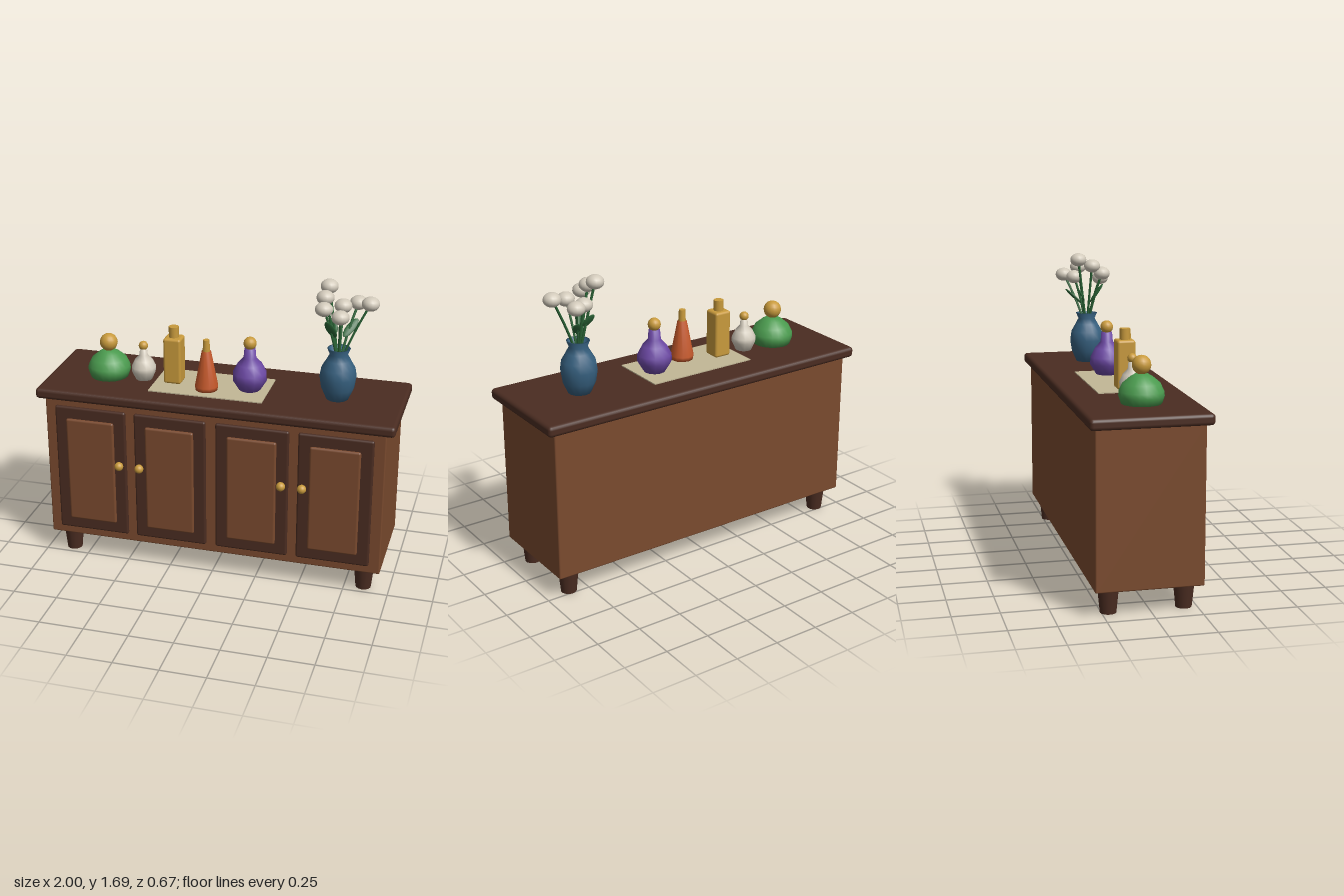
import * as THREE from 'three';
import { RoundedBoxGeometry } from 'three/addons/geometries/RoundedBoxGeometry.js';

const paint = (name, color, flatShading = false) => {
  const m = new THREE.MeshStandardMaterial({ color, flatShading });
  m.name = name;
  return m;
};

export function createModel() {
  const model = new THREE.Group();
  model.name = 'sideboard';
  const wood = paint('brown wood', 0x7a4a2e);
  const dark = paint('dark wood', 0x4a2c21);
  const gold = paint('gold', 0xc89a3c);
  const linen = paint('linen', 0xc2b796);
  const green = paint('green glass', 0x4a9a4e);
  const orange = paint('orange glass', 0xc4582a);
  const purple = paint('purple glass', 0x6c48a4);
  const blue = paint('blue ceramic', 0x36607f);
  const ivory = paint('ivory', 0xd2cabb);
  const leafGreen = paint('leaf green', 0x2c6638);

  const add = (name, geometry, material, x, y, z, parent = model) => {
    const mesh = new THREE.Mesh(geometry, material);
    mesh.name = name;
    mesh.position.set(x, y, z);
    parent.add(mesh);
    return mesh;
  };
  // rounded box given by its limits
  const box = (name, mat, x0, x1, y0, y1, z0, z1, r) =>
    add(name, new RoundedBoxGeometry(x1 - x0, y1 - y0, z1 - z0, 2, r), mat,
      (x0 + x1) / 2, (y0 + y1) / 2, (z0 + z1) / 2);
  // turned part from [radius, height] pairs, with heights measured from the floor
  const turned = (name, mat, x, z, profile, sides = 12) =>
    add(name, new THREE.LatheGeometry(profile.map(([r, y]) => new THREE.Vector2(r, y)), sides), mat, x, 0, z);
  const ball = (name, mat, x, y, z, r) => add(name, new THREE.SphereGeometry(r, 16, 12), mat, x, y, z);

  // Cabinet
  box('cabinetBody', wood, -0.953, 0.953, 0.135, 0.98, -0.3, 0.268, 0.008);
  box('cabinetTop', dark, -1, 1, 0.975, 1.035, -0.335, 0.3, 0.02);
  for (const x of [-0.855, 0.855]) {
    for (const z of [0.183, -0.214]) {
      add('leg', new THREE.CylinderGeometry(0.057, 0.043, 0.14, 14), dark, x, 0.07, z);
    }
  }

  // Doors with raised panels and knobs
  for (const [x, knobX] of [[-0.69, -0.52], [-0.233, -0.403], [0.23, 0.4], [0.688, 0.516]]) {
    box('doorFrame', dark, x - 0.204, x + 0.204, 0.182, 0.938, 0.25, 0.284, 0.012);
    box('doorPanel', wood, x - 0.138, x + 0.138, 0.248, 0.87, 0.265, 0.297, 0.012);
    ball('knob', gold, knobX, 0.622, 0.309, 0.025);
  }

  // Runner cloth
  add('runner', new THREE.BoxGeometry(0.642, 0.006, 0.332), linen, -0.065, 1.038, 0.005);

  // Round green bottle
  turned('greenBottle', green, -0.665, 0.003,
    [[0, 1.036], [0.106, 1.036], [0.119, 1.075], [0.117, 1.1], [0.098, 1.14], [0.06, 1.172], [0.034, 1.188], [0, 1.19]], 20);
  ball('greenBottleStopper', gold, -0.665, 1.234, 0.003, 0.05);

  // Small ivory bottle
  turned('ivoryBottle', ivory, -0.462, 0.003,
    [[0, 1.036], [0.046, 1.036], [0.068, 1.085], [0.069, 1.11], [0.05, 1.15], [0.024, 1.178], [0.02, 1.215], [0, 1.215]]);
  ball('ivoryBottleStopper', gold, -0.462, 1.233, 0.003, 0.026);

  // Square gold bottle
  box('squareBottle', gold, -0.333, -0.233, 1.041, 1.305, -0.045, 0.055, 0.014);
  add('squareBottleCap', new THREE.CylinderGeometry(0.028, 0.028, 0.065, 14), gold, -0.283, 1.332, 0.005);

  // Tapered orange bottle
  turned('orangeBottle', orange, -0.08, 0.068,
    [[0, 1.041], [0.062, 1.041], [0.065, 1.065], [0.026, 1.265], [0, 1.268]]);
  add('orangeBottleCap', new THREE.CylinderGeometry(0.018, 0.021, 0.066, 12), gold, -0.08, 1.297, 0.068);

  // Purple bottle
  turned('purpleBottle', purple, 0.148, 0.003,
    [[0, 1.041], [0.06, 1.041], [0.096, 1.1], [0.094, 1.14], [0.068, 1.19], [0.036, 1.225], [0.031, 1.28], [0, 1.282]]);
  ball('purpleBottleStopper', gold, 0.148, 1.309, 0.003, 0.036);

  // Vase, with an inner wall
  turned('vase', blue, 0.634, -0.012,
    [[0, 1.036], [0.062, 1.036], [0.09, 1.1], [0.1, 1.165], [0.092, 1.215], [0.066, 1.26], [0.049, 1.292],
      [0.063, 1.325], [0.053, 1.325], [0.04, 1.29], [0, 1.27]], 14);

  // Flowers on bent stems
  const blooms = [
    [0.56, 1.647, -0.075], [0.555, 1.61, 0.006], [0.56, 1.565, 0.065], [0.65, 1.53, 0.074],
    [0.79, 1.582, -0.032], [0.71, 1.548, -0.135], [0.636, 1.54, -0.085],
  ];
  for (const [x, y, z] of blooms) {
    const dx = x - 0.634, dz = z + 0.012;
    const stem = new THREE.QuadraticBezierCurve3(
      new THREE.Vector3(0.634 + dx * 0.1, 1.26, -0.012 + dz * 0.1),
      new THREE.Vector3(0.634 + dx * 0.4, 1.4, -0.012 + dz * 0.4),
      new THREE.Vector3(x, y, z));
    add('stem', new THREE.TubeGeometry(stem, 8, 0.007, 6), leafGreen, 0, 0, 0);
    ball('bloom', ivory, x, y, z, 0.048).scale.y = 0.8;
  }

  // Leaves: flattened spheres laid between two points
  const leaves = [
    [[0.65, 1.38, -0.04], [0.71, 1.46, -0.125]],
    [[0.615, 1.39, 0.005], [0.575, 1.5, 0.075]],
    [[0.61, 1.4, -0.03], [0.57, 1.47, -0.07]],
  ];
  for (const [from, to] of leaves) {
    const a = new THREE.Vector3(...from), b = new THREE.Vector3(...to);
    const mid = a.clone().add(b).multiplyScalar(0.5);
    const leaf = add('leaf', new THREE.SphereGeometry(1, 10, 8), leafGreen, mid.x, mid.y, mid.z);
    leaf.scale.set(0.024, a.distanceTo(b) / 2, 0.007);
    leaf.quaternion.setFromUnitVectors(new THREE.Vector3(0, 1, 0), b.sub(a).normalize());
  }

  return model;
}
